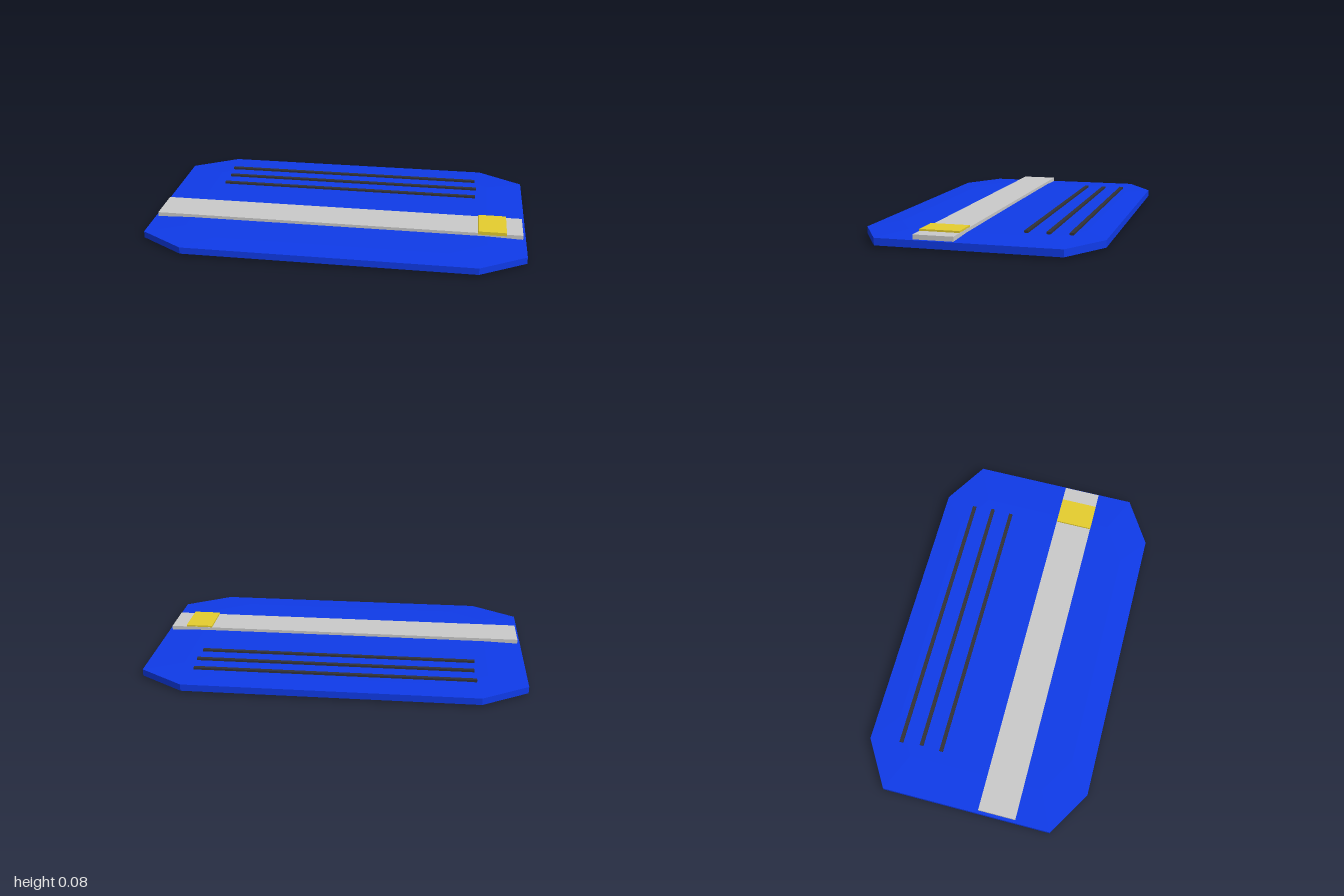
import * as THREE from 'three';

const material = (color, flatShading = false) => new THREE.MeshStandardMaterial({ color, flatShading });

// Octagonal outline as [x, z], running from +x towards +z
const OUTLINE = [[1, -0.453], [1, 0.453], [0.76, 0.6], [-0.76, 0.6],
  [-1, 0.453], [-1, -0.453], [-0.76, -0.6], [0.76, -0.6]];

// Lofts the outline through [scale, y] rings, from bottom centre to top centre
function loftOutline(rings) {
  const positions = [];
  const n = OUTLINE.length;
  const point = ([scale, y], i) => [OUTLINE[i % n][0] * scale, y, OUTLINE[i % n][1] * scale];
  for (let r = 0; r < rings.length - 1; r++) {
    const low = rings[r], high = rings[r + 1];
    for (let i = 0; i < n; i++) {
      const a = point(low, i), b = point(low, i + 1), c = point(high, i + 1), d = point(high, i);
      if (high[0] > 0) positions.push(...a, ...d, ...c);
      if (low[0] > 0) positions.push(...a, ...c, ...b);
    }
  }
  const geometry = new THREE.BufferGeometry();
  geometry.setAttribute('position', new THREE.Float32BufferAttribute(positions, 3));
  geometry.computeVertexNormals();
  return geometry;
}

// Box given by its lower and upper corners
function slab(name, [x0, y0, z0], [x1, y1, z1], mat) {
  const mesh = new THREE.Mesh(new THREE.BoxGeometry(x1 - x0, y1 - y0, z1 - z0), mat);
  mesh.position.set((x0 + x1) / 2, (y0 + y1) / 2, (z0 + z1) / 2);
  mesh.name = name;
  return mesh;
}

export function createModel() {
  const model = new THREE.Group();
  model.name = 'cardPlate';

  // Thin octagonal plate, tapering slightly towards its rim
  const plate = new THREE.Mesh(
    loftOutline([[0, 0], [0.8, 0.002], [1, 0.009], [1, 0.045], [0.8, 0.052], [0, 0.053]]),
    material(0x0f3bea, true));
  plate.name = 'plate';
  model.add(plate);

  // Wide stripe with a raised square near its left end
  model.add(slab('stripe', [-0.985, 0.045, 0.065], [0.985, 0.069, 0.265], material(0xcccccc)));
  model.add(slab('stripeSquare', [0.752, 0.06, 0.066], [0.9, 0.078, 0.266], material(0xe6cf2e)));

  // Three thin ridges across the back half
  const ridgeMaterial = material(0x333338);
  [[-0.005, -0.43], [0.005, -0.32], [0, -0.21]].forEach(([x, z], i) => {
    model.add(slab(`ridge${i + 1}`, [x - 0.735, 0.048, z - 0.01], [x + 0.735, 0.063, z + 0.01], ridgeMaterial));
  });

  return model;
}
